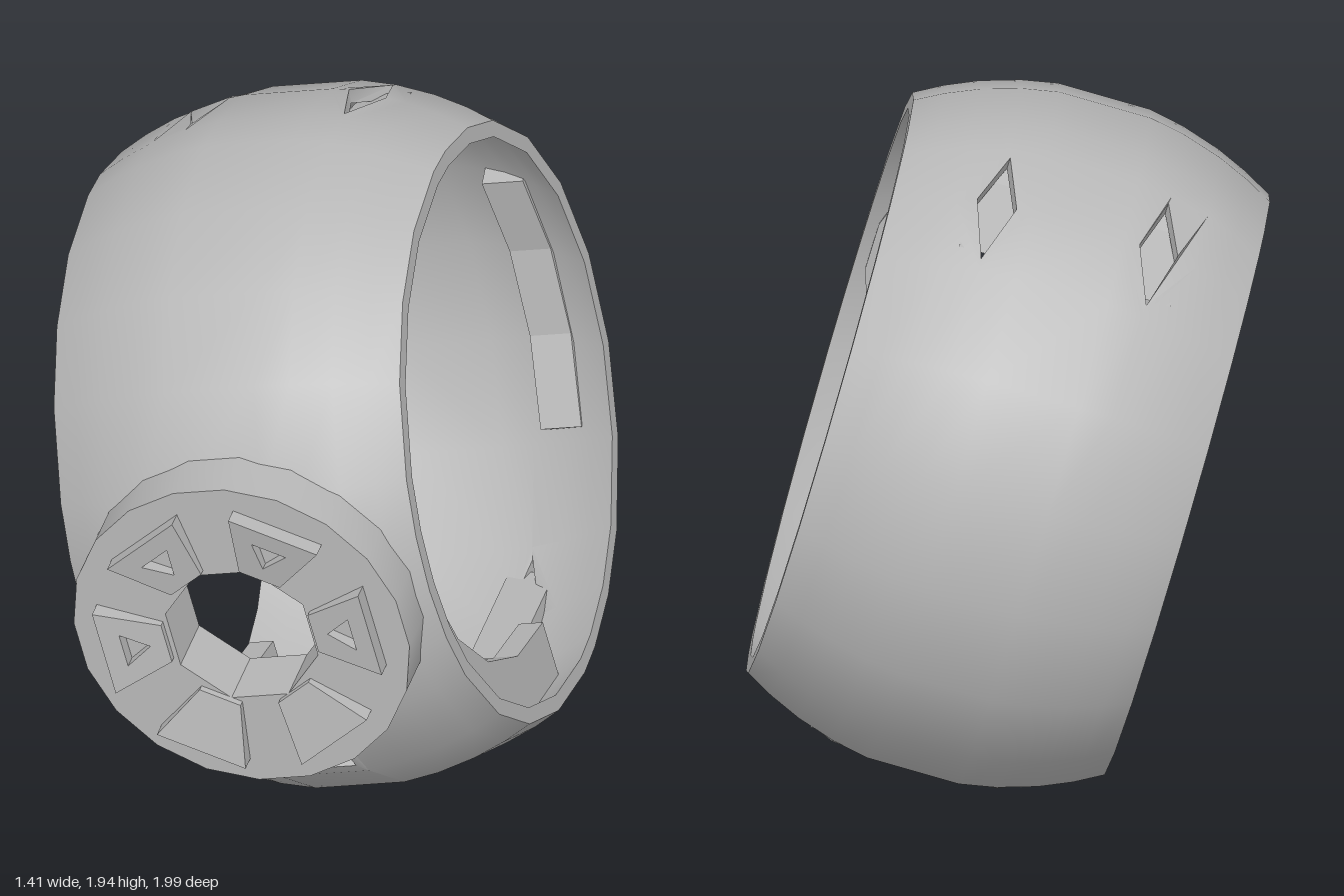
import * as THREE from 'three';
import { toCreasedNormals } from 'three/addons/utils/BufferGeometryUtils.js';

const grey = new THREE.MeshStandardMaterial({ color: 0xb8b8b8 });
grey.name = 'plainGrey';
const H = Math.PI / 2;

// Curved wall around the x axis: a grid over (axial s, angle f) between two radii.
// Each hole replaces one block of grid cells by a sheet with a cut-out and walls.
function curvedPanel(S, F, rOut, rIn, holes, closed, crease) {
  const pos = [];
  const at = ([s, f], r) => [s, r(s) * Math.sin(f), r(s) * Math.cos(f)];
  const tri = (a, b, c) => pos.push(...a, ...b, ...c);
  const sheet = (a, b, c) => {
    if ((b[0] - a[0]) * (c[1] - a[1]) - (b[1] - a[1]) * (c[0] - a[0]) < 0) [b, c] = [c, b];
    tri(at(a, rOut), at(b, rOut), at(c, rOut));
    tri(at(a, rIn), at(c, rIn), at(b, rIn));
  };
  const wall = (a, b) => {
    tri(at(a, rOut), at(b, rOut), at(b, rIn));
    tri(at(a, rOut), at(b, rIn), at(a, rIn));
  };
  const within = (v, [a, b]) => v > a - 1e-4 && v < b + 1e-4;

  for (let i = 0; i < S.length - 1; i++) {
    for (let j = 0; j < F.length - 1; j++) {
      const s = (S[i] + S[i + 1]) / 2, f = (F[j] + F[j + 1]) / 2;
      if (holes.some(h => within(s, h.s) && within(f, h.f))) continue;
      const a = [S[i], F[j]], b = [S[i + 1], F[j]], c = [S[i + 1], F[j + 1]], d = [S[i], F[j + 1]];
      sheet(a, b, c);
      sheet(a, c, d);
    }
  }
  for (const h of holes) {
    const ss = S.filter(v => within(v, h.s)), ff = F.filter(v => within(v, h.f));
    const s0 = ss[0], s1 = ss[ss.length - 1], f0 = ff[0], f1 = ff[ff.length - 1];
    const outline = [
      ...ss.slice(0, -1).map(s => [s, f0]), ...ff.slice(0, -1).map(f => [s1, f]),
      ...ss.slice(1).reverse().map(s => [s, f1]), ...ff.slice(1).reverse().map(f => [s0, f])
    ];
    const vec = list => list.map(p => new THREE.Vector2(p[0], p[1]));
    const all = [...outline, ...h.pts];
    for (const [a, b, c] of THREE.ShapeUtils.triangulateShape(vec(outline), [vec(h.pts)])) {
      sheet(all[a], all[b], all[c]);
    }
    h.pts.forEach((p, k) => wall(p, h.pts[(k + 1) % h.pts.length]));
  }
  // rims and, for partial rings, end faces
  const sEnd = S[S.length - 1], fEnd = F[F.length - 1];
  for (let j = 0; j < F.length - 1; j++) {
    wall([sEnd, F[j + 1]], [sEnd, F[j]]);
    wall([S[0], F[j]], [S[0], F[j + 1]]);
  }
  if (!closed) {
    for (let i = 0; i < S.length - 1; i++) {
      wall([S[i + 1], F[0]], [S[i], F[0]]);
      wall([S[i], fEnd], [S[i + 1], fEnd]);
    }
  }
  const g = new THREE.BufferGeometry();
  g.setAttribute('position', new THREE.Float32BufferAttribute(pos, 3));
  return toCreasedNormals(g, crease);
}

const sphere = R => s => Math.sqrt(R * R - s * s);
const flat = r => () => r;
const steps = (a, b, n) => Array.from({ length: n + 1 }, (_, i) => a + (b - a) * i / n);
const circle = (n, r) => Array.from({ length: n }, (_, i) => {
  const a = (i + 0.5) / n * 2 * Math.PI;
  return new THREE.Vector2(r * Math.cos(a), r * Math.sin(a));
});
const polygon = pts => new THREE.Shape(pts.map(p => new THREE.Vector2(...p)));

export function createModel() {
  const model = new THREE.Group();
  model.name = 'ringHousing';
  const body = new THREE.Group();
  body.name = 'tiltedBody';
  body.rotation.z = Math.PI / 12;
  body.position.set(0, 0.966, -0.033);
  model.add(body);
  const add = (name, geo) => {
    const m = new THREE.Mesh(geo, grey);
    m.name = name;
    body.add(m);
    return m;
  };

  // grid lines of the shell
  const S = [-0.507, -0.43, -0.34, -0.23, -0.13, 0.13, 0.23, 0.34, 0.43, 0.507];
  const half = [0.2, 0.4, 0.72, 1.0, 1.28, H, H + 0.14, H + 0.37, H + 0.61, 2.5, 2.82, Math.PI];
  const F = [...half.map(f => -f).reverse(), 0, ...half];

  // square window under the nozzle, and the nozzle opening
  const windowHole = {
    s: [-0.13, 0.13], f: [-0.72, -0.4],
    pts: [[-0.115, -0.66], [0.115, -0.66], [0.115, -0.47], [-0.115, -0.47]]
  };
  const nozzleHole = {
    s: [-0.34, 0.34], f: [-0.4, 0.4],
    pts: circle(12, 0.3).map(p => [p.x, Math.asin(p.y / 0.97)])
  };

  // four diamond slots, each closed inside by a flat wedge
  const slots = [];
  for (const x of [-1, 1]) for (const y of [-1, 1]) {
    const pts = [[0.225, H + 0.177], [0.285, H + 0.36], [0.235, H + 0.569], [0.175, H + 0.38]]
      .map(([s, f]) => [s * x, f * y]);
    if (x * y < 0) pts.reverse();
    const s = [0.13 * x, 0.34 * x].sort((a, b) => a - b);
    const f = [(H + 0.14) * y, (H + 0.61) * y].sort((a, b) => a - b);
    slots.push({ s, f, pts });

    const wedge = polygon([[0, 0.79], [0.47, 0.79], [0.38, 0.815], [0.2, 0.86], [0.13, 0.89], [0, 0.9]]
      .map(([u, v]) => [u, v * y]));
    const g = new THREE.ExtrudeGeometry(wedge, { depth: 0.14, bevelEnabled: false });
    g.rotateY(H);
    g.translate(0.23 * x - 0.07, 0, 0);
    add('slotWedge', g);
  }

  add('outerShell', curvedPanel(S, F, sphere(0.97), sphere(0.932),
    [nozzleHole, windowHole, ...slots], true, 0.6));

  // two thin ribs around the front half, joined by cross blocks at top and bottom
  for (const s of [[-0.43, -0.36], [0.36, 0.43]]) {
    add('frontRib', curvedPanel(s, steps(-H, H, 9), sphere(0.945), flat(0.655), [], false, 0.1));
  }
  for (const f of [[H - 0.36, H], [-H, -H + 0.27]]) {
    add('crossBlock', curvedPanel([-0.36, -0.13, 0.13, 0.36], f, sphere(0.945), flat(0.76), [], false, 0.1));
  }

  // pads on the rear inside wall
  add('rearPad', curvedPanel([-0.4, -0.28], steps(Math.PI - 0.6, Math.PI + 0.34, 3),
    sphere(0.945), flat(0.72), [], false, 0.1));
  add('rearStrip', curvedPanel([0.28, 0.4], steps(Math.PI - 0.34, Math.PI + 0.6, 3),
    sphere(0.945), flat(0.83), [], false, 0.1));

  // nozzle disc with an open centre
  const disc = new THREE.Shape(circle(20, 0.478));
  disc.holes.push(new THREE.Path(circle(8, 0.218)));
  const discGeo = new THREE.ExtrudeGeometry(disc, { depth: 0.193, bevelEnabled: false });
  discGeo.translate(0, 0, 0.79);
  add('nozzleDisc', toCreasedNormals(discGeo, 0.5));

  // six wedge-shaped lugs, sloping down toward the centre
  for (let k = 0; k < 6; k++) {
    const lug = polygon([[0.215, -0.06], [0.39, -0.13], [0.39, 0.13], [0.215, 0.06]]);
    if (k < 4) lug.holes.push(polygon([[0.26, 0], [0.335, 0.05], [0.335, -0.05]]));
    const g = new THREE.ExtrudeGeometry(lug, { depth: 0.05, bevelEnabled: false });
    const p = g.attributes.position;
    for (let i = 0; i < p.count; i++) {
      if (p.getZ(i) > 0.01) p.setZ(i, 0.05 - 0.03 * (0.39 - p.getX(i)) / 0.175);
    }
    g.computeVertexNormals();
    const m = add('nozzleLug', g);
    m.position.z = 0.983;
    m.rotation.z = k * Math.PI / 3;
  }
  return model;
}
